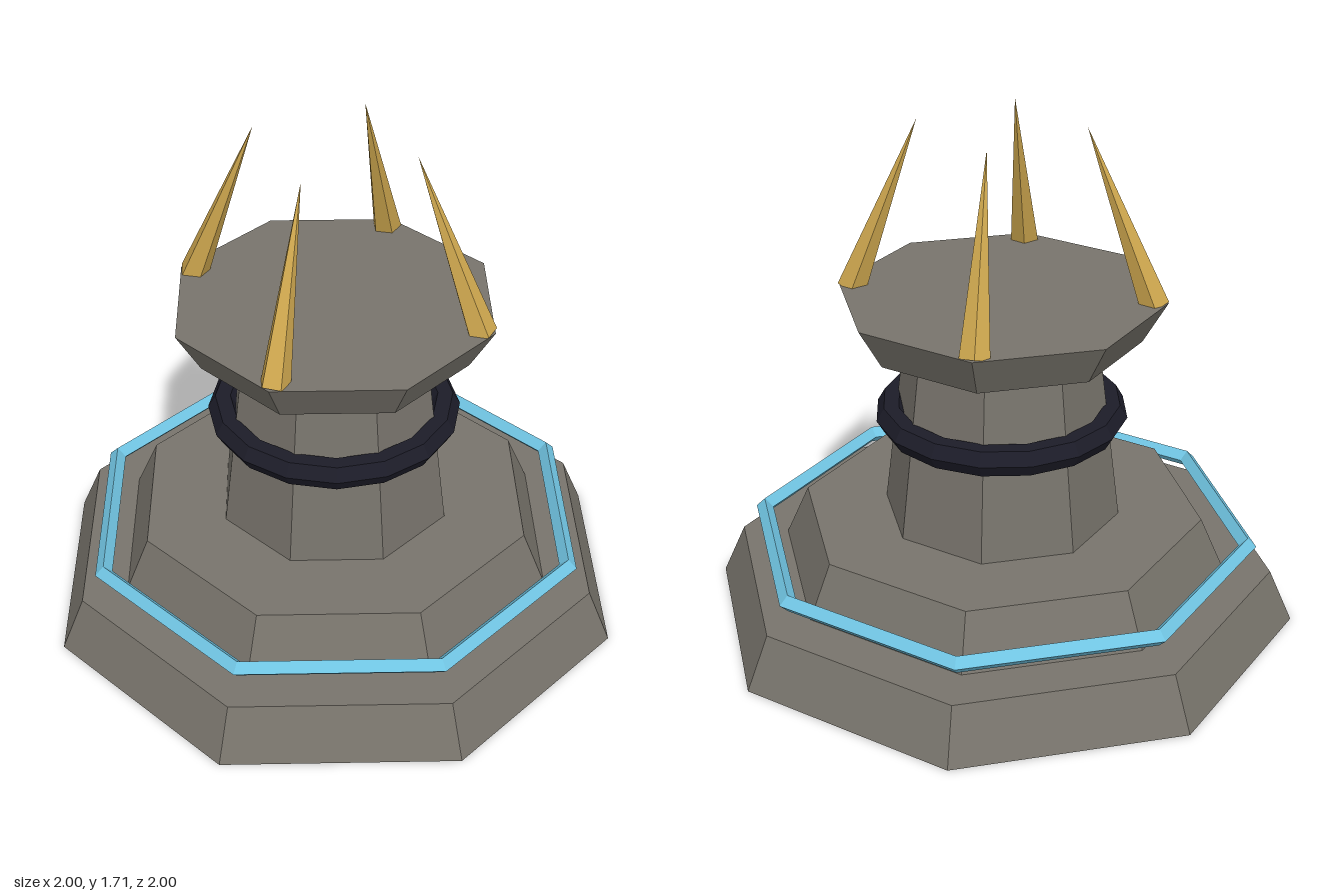
import * as THREE from 'three';

const material = (name, color) => {
  const m = new THREE.MeshStandardMaterial({ color, flatShading: true });
  m.name = name;
  return m;
};

export function createModel() {
  const stone = material('stone', 0x78746c);
  const gold = material('gold', 0xcfa84f);
  const glow = material('pale blue', 0x70c4e2);
  const dark = material('dark metal', 0x1c1c28);
  const group = new THREE.Group();

  const add = (name, geometry, mat) => {
    const mesh = new THREE.Mesh(geometry, mat);
    mesh.name = name;
    group.add(mesh);
    return mesh;
  };

  // Octagonal stone tiers: name, bottom y, top y, bottom radius, top radius
  const tiers = [
    ['baseTier', 0, 0.18, 1, 0.92],
    ['upperTier', 0.18, 0.36, 0.76, 0.68],
    ['column', 0.36, 1, 0.4, 0.32],
    ['capital', 1, 1.14, 0.46, 0.54],
  ];
  for (const [name, y0, y1, r0, r1] of tiers) {
    add(name, new THREE.CylinderGeometry(r1, r0, y1 - y0, 8), stone).position.y = (y0 + y1) / 2;
  }

  // Horizontal rings around the tier and the column
  const ring = (name, y, radius, tube, sides, segments, mat) => {
    const geometry = new THREE.TorusGeometry(radius, tube, sides, segments).rotateX(-Math.PI / 2);
    add(name, geometry, mat).position.y = y;
  };
  ring('glowRing', 0.272, 0.838, 0.03, 4, 8, glow);
  ring('columnBand', 0.722, 0.37, 0.05, 6, 16, dark);

  // Four spikes leaning inwards from the corners of the capital
  const up = new THREE.Vector3(0, 1, 0);
  for (const sx of [-1, 1]) {
    for (const sz of [-1, 1]) {
      const foot = new THREE.Vector3(sx * 0.35, 1.13, sz * 0.35);
      const tip = new THREE.Vector3(sx * 0.19, 1.71, sz * 0.19);
      const axis = tip.clone().sub(foot);
      const spike = add('spike', new THREE.ConeGeometry(0.05, axis.length(), 5), gold);
      spike.position.copy(foot).add(tip).multiplyScalar(0.5);
      spike.quaternion.setFromUnitVectors(up, axis.normalize());
    }
  }
  return group;
}
